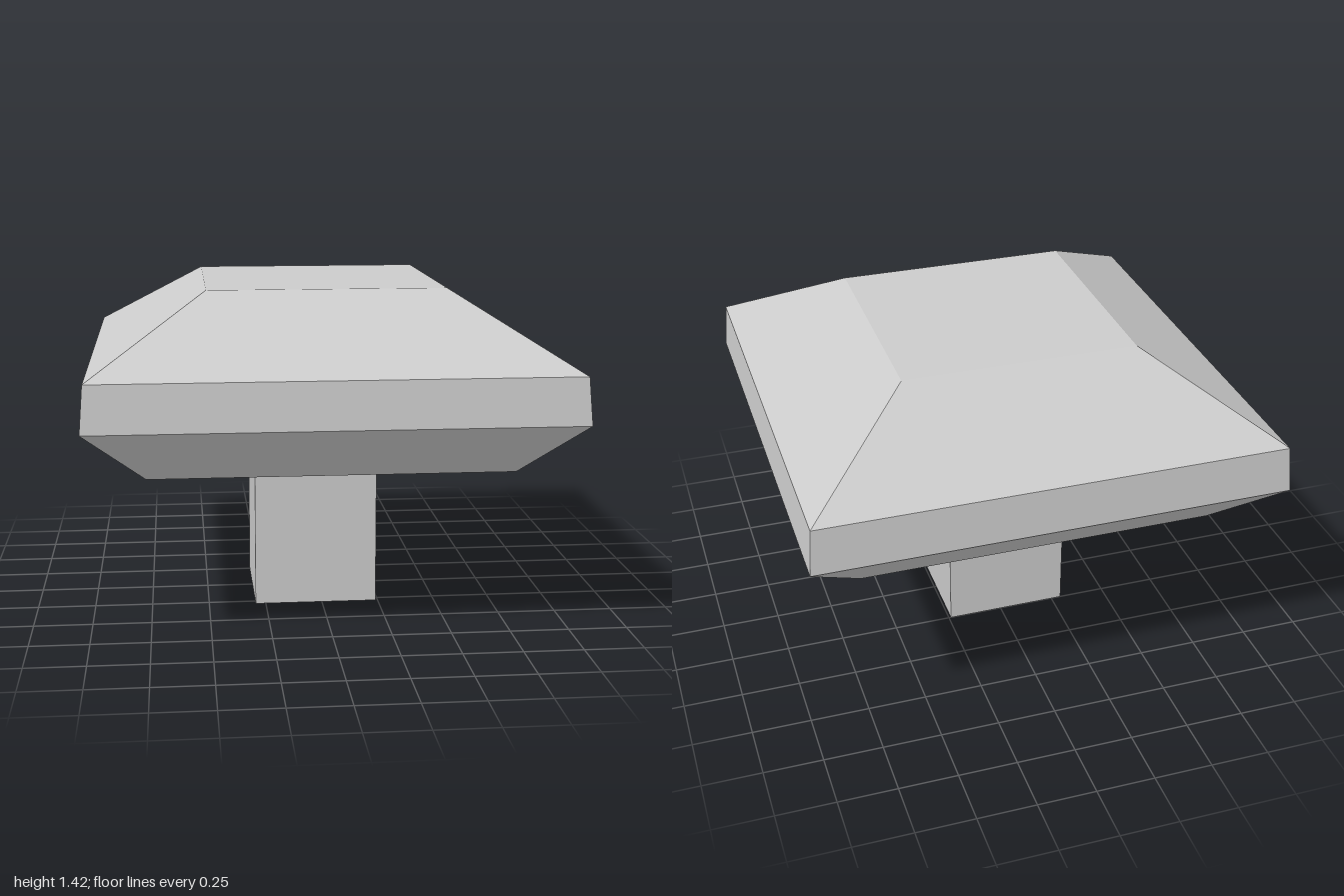
import * as THREE from 'three';

export function createModel() {
  const model = new THREE.Group();
  const material = new THREE.MeshStandardMaterial({ color: 0xcccccc, flatShading: true });

  // Square cap: [half width, height] from the underside to the flat top
  const profile = [[0, 0.69], [0.755, 0.69], [1, 0.925], [0.985, 1.12], [0.5, 1.42], [0, 1.42]]
    .map(([half, y]) => new THREE.Vector2(half * Math.SQRT2, y));
  const capGeometry = new THREE.LatheGeometry(profile, 4).rotateY(Math.PI / 4);
  const cap = new THREE.Mesh(capGeometry, material);
  cap.name = 'cap';

  // Square stem, set slightly off centre
  const stemHeight = 0.69;
  const stem = new THREE.Mesh(new THREE.BoxGeometry(0.535, stemHeight, 0.535), material);
  stem.position.set(-0.027, stemHeight / 2, 0.017);
  stem.name = 'stem';

  model.add(cap, stem);
  return model;
}
